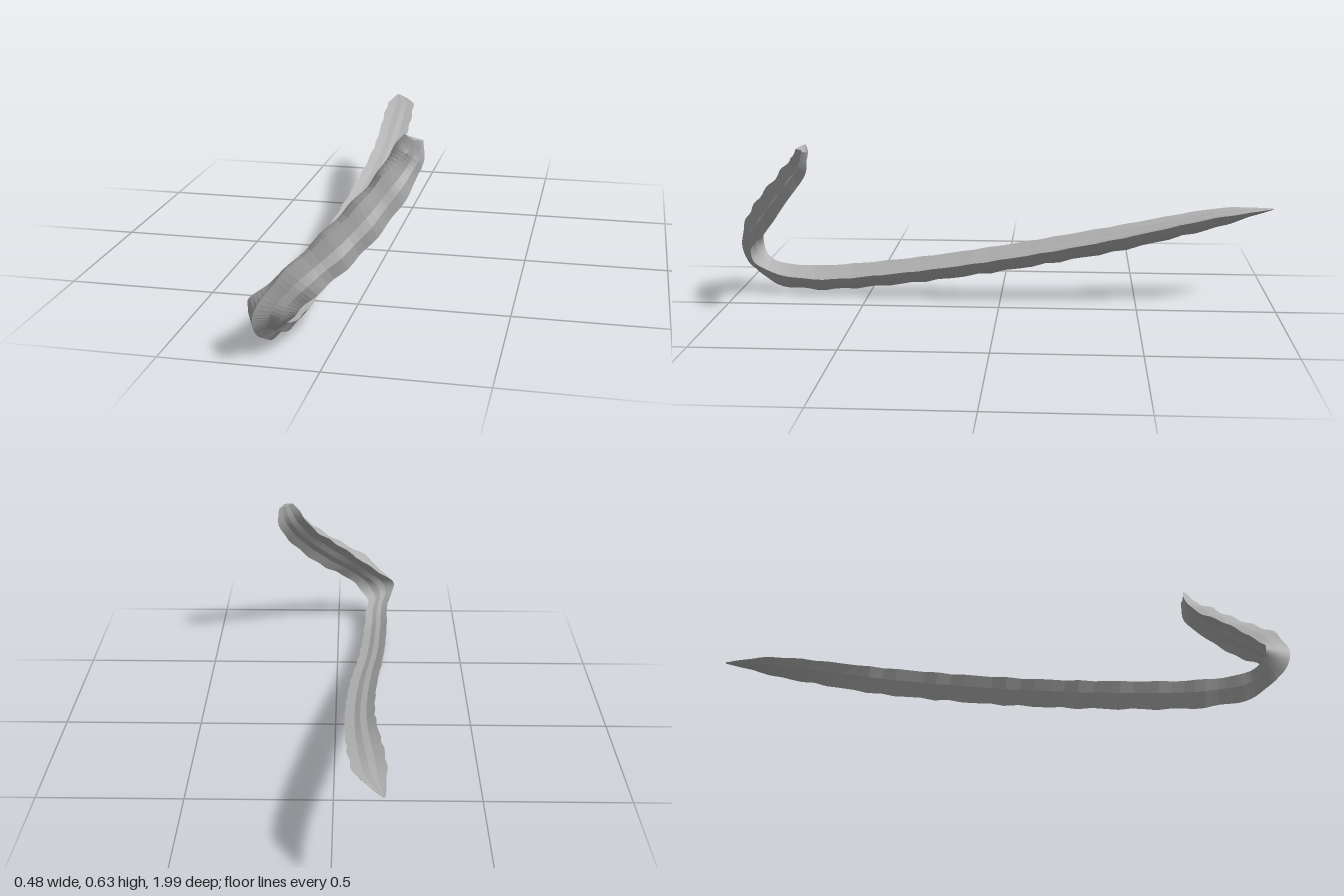
import * as THREE from 'three';

const leafMat = new THREE.MeshStandardMaterial({ color: 0xb2b2b2, flatShading: true });
leafMat.name = 'leaf grey';

// From the long tip, around the fold, to the short end:
// left edge, right edge, depth of the underside, keel position across the width
const stations = [
  [[-0.157, 0.353, -1.0], [-0.150, 0.352, -1.0], 0.003, 0.45],
  [[-0.164, 0.355, -0.88], [-0.072, 0.350, -0.88], 0.036, 0.45],
  [[-0.163, 0.348, -0.78], [-0.052, 0.338, -0.78], 0.058, 0.45],
  [[-0.137, 0.280, -0.4], [-0.036, 0.252, -0.4], 0.082, 0.45],
  [[-0.152, 0.200, 0], [-0.050, 0.170, 0], 0.082, 0.45],
  [[-0.187, 0.130, 0.4], [-0.090, 0.100, 0.4], 0.082, 0.45],
  [[-0.204, 0.098, 0.72], [-0.110, 0.068, 0.7], 0.082, 0.45],
  [[-0.210, 0.110, 0.86], [-0.120, 0.085, 0.85], 0.075, 0.42],
  [[-0.232, 0.142, 0.91], [-0.125, 0.105, 0.9], 0.065, 0.35],
  [[-0.232, 0.178, 0.92], [-0.095, 0.140, 0.925], 0.07, 0.28],
  [[-0.150, 0.250, 0.89], [-0.040, 0.195, 0.92], 0.075, 0.22],
  [[0, 0.400, 0.79], [0.080, 0.300, 0.825], 0.072, 0.22],
  [[0.100, 0.510, 0.69], [0.188, 0.435, 0.72], 0.068, 0.25],
  [[0.150, 0.595, 0.65], [0.235, 0.540, 0.642], 0.055, 0.38],
  [[0.180, 0.632, 0.65], [0.235, 0.612, 0.635], 0.035, 0.5],
];
const STEPS = 8; // rows between two stations

// Closed section as [share of width, share of depth] for a given keel position:
// steep left wall, keel, groove and rib on the right, shallow dish on top
const sectionAt = k => [
  [0, 0], [k * 0.35, 0.45], [k, 1],
  [k + (1 - k) * 0.4, 0.5], [k + (1 - k) * 0.7, 0.5], [1, 0],
  [0.7, 0.1], [0.5, 0.06], [0.3, 0.1],
];

function createBlade() {
  const [leftRail, rightRail] = [0, 1].map(i =>
    new THREE.CatmullRomCurve3(stations.map(s => new THREE.Vector3(...s[i])), false, 'centripetal'));
  const rows = (stations.length - 1) * STEPS, n = sectionAt(0.5).length;
  const pos = [], index = [];
  const middle = t => leftRail.getPoint(t).add(rightRail.getPoint(t)).multiplyScalar(0.5);
  let travelled = 0;

  for (let r = 0; r <= rows; r++) {
    const t = r / rows;
    const L = leftRail.getPoint(t), R = rightRail.getPoint(t);
    const before = middle(Math.max(t - 1 / rows, 0));
    const along = middle(Math.min(t + 1 / rows, 1)).sub(before).normalize();
    const across = R.clone().sub(L);
    const out = across.clone().cross(along).normalize();
    travelled += middle(t).distanceTo(before);

    // regular swellings along the blade
    const swell = 1 + 0.05 * Math.sin(travelled * 2 * Math.PI / 0.13);
    const s = Math.min(Math.floor(r / STEPS), stations.length - 2);
    const [depth, keel] = [2, 3].map(i =>
      THREE.MathUtils.lerp(stations[s][i], stations[s + 1][i], r / STEPS - s));
    for (const [u, d] of sectionAt(keel)) {
      const p = L.clone().addScaledVector(across, 0.5 + (u - 0.5) * swell).addScaledVector(out, d * depth * swell);
      pos.push(p.x, Math.max(p.y, 0), p.z);
    }
  }
  for (let r = 0; r < rows; r++) {
    for (let c = 0; c < n; c++) {
      const a = r * n + c, b = r * n + (c + 1) % n;
      index.push(a, b, a + n, b, b + n, a + n);
    }
  }
  // cut end of the short arm: strips between underside and top
  const e = rows * n;
  for (const [a, b, c] of [[0, 1, 8], [1, 2, 8], [2, 7, 8], [2, 3, 7], [3, 6, 7], [3, 4, 6], [4, 5, 6]]) {
    index.push(e + a, e + b, e + c);
  }
  const geo = new THREE.BufferGeometry();
  geo.setAttribute('position', new THREE.Float32BufferAttribute(pos, 3));
  geo.setIndex(index);
  geo.computeVertexNormals();
  return geo;
}

export function createModel() {
  const group = new THREE.Group();
  group.name = 'foldedLeaf';
  const blade = new THREE.Mesh(createBlade(), leafMat);
  blade.name = 'leafBlade';
  group.add(blade);
  return group;
}
